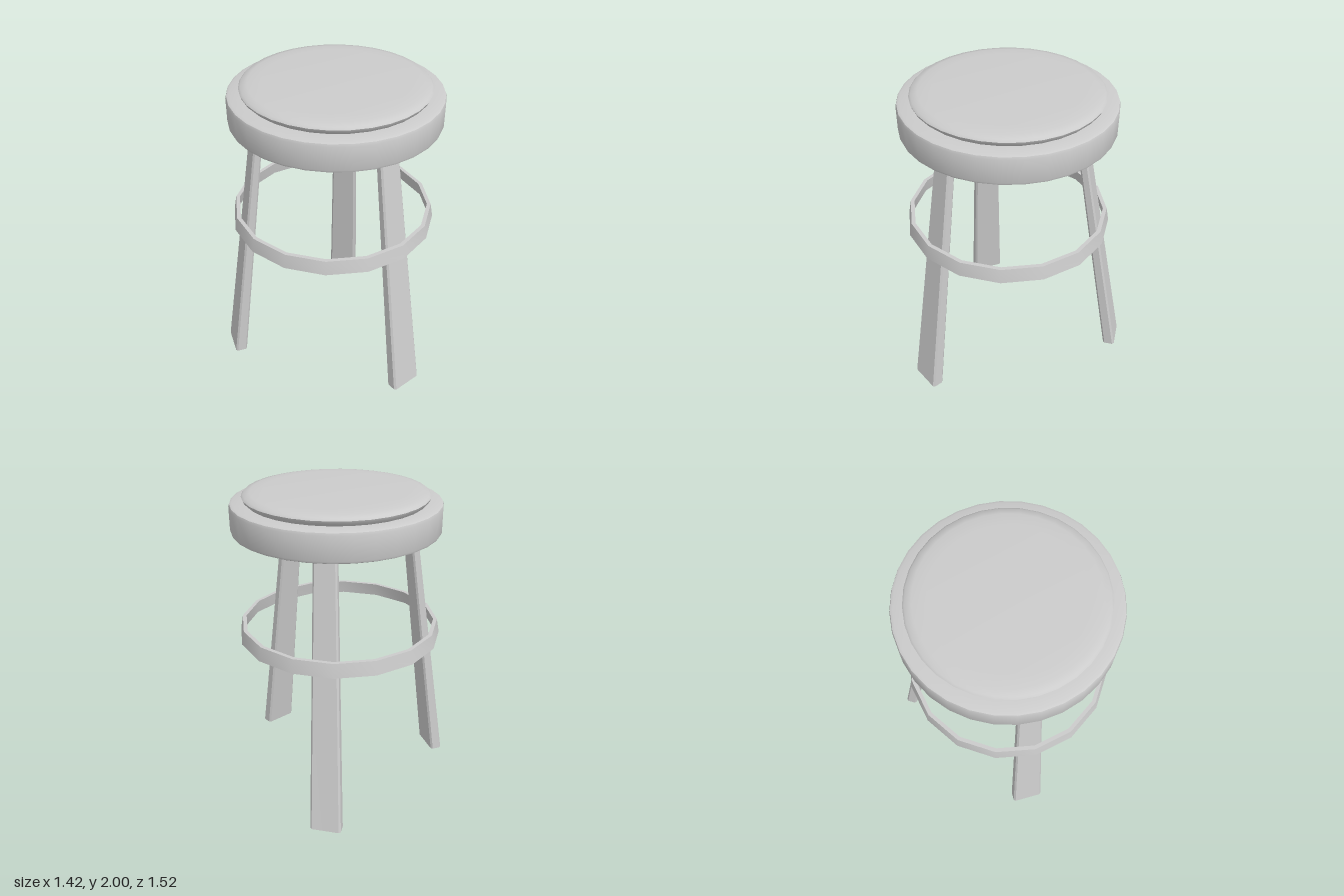
import * as THREE from 'three';
import { toCreasedNormals } from 'three/addons/utils/BufferGeometryUtils.js';

const material = new THREE.MeshStandardMaterial({ color: 0xcccccc });

function turned(name, profile, sides, x, z) {
  const points = profile.map(([r, y]) => new THREE.Vector2(r, y));
  const mesh = new THREE.Mesh(toCreasedNormals(new THREE.LatheGeometry(points, sides), 0.75), material);
  mesh.name = name;
  mesh.position.set(x, 0, z);
  return mesh;
}

// Rectangle standing on the outer edge a-b, thickened inwards, with chamfered corners
function legSection(a, b, thickness, chamfer) {
  const A = new THREE.Vector2(...a), B = new THREE.Vector2(...b);
  const t = B.clone().sub(A).normalize();
  let inward = new THREE.Vector2(-t.y, t.x);
  if (inward.dot(A) > 0) inward.negate();
  const corners = [A, B, B.clone().addScaledVector(inward, thickness), A.clone().addScaledVector(inward, thickness)];
  const section = [];
  corners.forEach((c, i) => {
    for (const other of [corners[(i + 3) % 4], corners[(i + 1) % 4]]) {
      section.push(c.clone().addScaledVector(other.clone().sub(c).normalize(), chamfer));
    }
  });
  return section;
}

// Tapered leg lofted between a foot section and a head section
function makeLeg(name, foot, head) {
  const rings = [
    [legSection(...foot, 0.08, 0.012), 0.0],
    [legSection(...head, 0.05, 0.01), 1.76],
  ];
  const n = 8, positions = [], index = [];
  for (const [section, y] of rings) for (const p of section) positions.push(p.x, y, p.y);
  for (let i = 0; i < n; i++) {
    const j = (i + 1) % n;
    index.push(i, j, n + j, i, n + j, n + i);
  }
  for (let i = 1; i < n - 1; i++) index.push(0, i + 1, i, n, n + i, n + i + 1);

  // Keep faces outward whichever way the section runs
  const [s] = rings[0];
  if (THREE.ShapeUtils.area(s) > 0) index.reverse();

  const geometry = new THREE.BufferGeometry();
  geometry.setAttribute('position', new THREE.Float32BufferAttribute(positions, 3));
  geometry.setIndex(index);
  const mesh = new THREE.Mesh(toCreasedNormals(geometry, 0.3), material);
  mesh.name = name;
  return mesh;
}

export function createModel() {
  const group = new THREE.Group();
  group.name = 'stool';

  // Seat body with softened rims
  group.add(turned('seat', [
    [0, 1.75], [0.64, 1.75], [0.655, 1.757], [0.66, 1.77], [0.66, 1.915],
    [0.655, 1.93], [0.64, 1.937], [0.54, 1.937], [0, 1.937],
  ], 32, 0.05, 0.015));

  // Padded cushion
  group.add(turned('cushion', [
    [0.55, 1.93], [0.575, 1.955], [0.582, 1.972], [0.57, 1.985],
    [0.53, 1.994], [0.45, 1.999], [0, 2.0],
  ], 32, 0.05, 0.015));

  // Flat footrest hoop, slightly conical
  group.add(turned('footrestRing', [
    [0.64, 1.04], [0.665, 1.04], [0.648, 1.13], [0.623, 1.13], [0.64, 1.04],
  ], 16, 0.035, 0.01));

  // Three splayed legs: outer edges of foot and head as [x, z] pairs
  group.add(makeLeg('rightLeg', [[-0.715, 0.065], [-0.715, -0.15]], [[-0.47, 0.07], [-0.47, -0.065]]));
  group.add(makeLeg('frontLeg', [[0.235, 0.765], [0.44, 0.687]], [[0.153, 0.493], [0.286, 0.444]]));
  group.add(makeLeg('backLeg', [[0.308, -0.768], [0.478, -0.66]], [[0.207, -0.437], [0.327, -0.36]]));

  return group;
}
